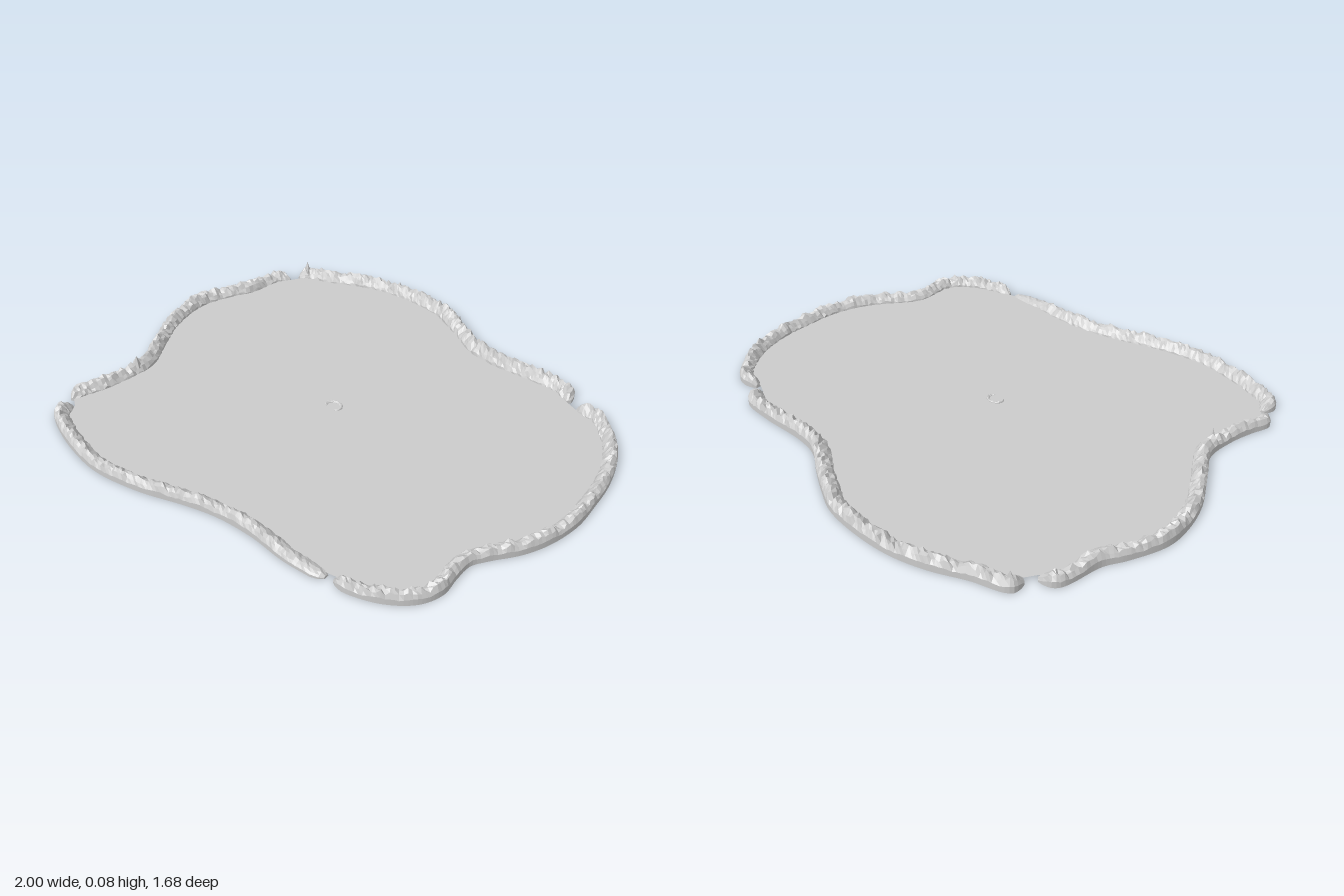
import * as THREE from 'three';

const WATER_Y = 0.01;

function seeded(seed) {
  let s = seed;
  return () => {
    s = (s * 16807) % 2147483647;
    return s / 2147483647;
  };
}

// Outer edges of the four bank pieces, running around the pond as [x, z]
const BANKS = [
  { name: 'frontBank', width: 0.058, height: 0.041, rough: 0.7, endDrop: 0.55, edge: [
    [-0.785, 0.67], [-0.77, 0.735], [-0.66, 0.79], [-0.5, 0.83], [-0.38, 0.84], [-0.2, 0.81],
    [-0.02, 0.75], [0.1, 0.72], [0.25, 0.71], [0.4, 0.72], [0.55, 0.71]] },
  { name: 'leftBank', width: 0.052, height: 0.041, rough: 1, endDrop: 0, edge: [
    [0.58, 0.7], [0.65, 0.69], [0.75, 0.65], [0.83, 0.58], [0.86, 0.5], [0.85, 0.42],
    [0.848, 0.35], [0.88, 0.29], [0.94, 0.2], [0.98, 0.1], [1, -0.03], [0.99, -0.15],
    [0.97, -0.28], [0.92, -0.42], [0.84, -0.53], [0.75, -0.6], [0.66, -0.605]] },
  { name: 'backBank', width: 0.06, height: 0.045, rough: 1, endDrop: 0, edge: [
    [0.63, -0.62], [0.58, -0.67], [0.45, -0.68], [0.25, -0.67], [0.15, -0.685], [0.05, -0.74],
    [-0.05, -0.79], [-0.15, -0.83], [-0.3, -0.843], [-0.45, -0.83], [-0.58, -0.79],
    [-0.7, -0.73], [-0.82, -0.68], [-0.84, -0.63]] },
  { name: 'rightBank', width: 0.055, height: 0.043, rough: 1, endDrop: 0, edge: [
    [-0.85, -0.6], [-0.9, -0.56], [-0.925, -0.4], [-0.96, -0.32], [-1, -0.18], [-0.99, -0.07],
    [-0.95, 0.05], [-0.86, 0.2], [-0.8, 0.3], [-0.795, 0.42], [-0.81, 0.52], [-0.83, 0.6],
    [-0.82, 0.645]] },
];

// Bank cross-section from outer foot to inner foot: [part of width, part of height]
const SECTION = [[0, 0], [0, 0.5], [0.08, 0.85], [0.28, 1], [0.5, 0.92], [0.72, 0.65], [0.9, 0.35], [1, 0.1]];

function edgeCurve(points) {
  return new THREE.CatmullRomCurve3(points.map(([x, z]) => new THREE.Vector3(x, 0, z)), false, 'centripetal');
}

// Point on the curve, moved inward by d
function inward(curve, t, d) {
  const p = curve.getPointAt(t);
  const g = curve.getTangentAt(t);
  return new THREE.Vector3(p.x + g.z * d, 0, p.z - g.x * d);
}

// Sweep the rough section along a curve; the underside stays open
function bankGeometry(curve, { width, height, rough, endDrop }, steps, seed, baseY = 0) {
  const rand = seeded(seed);
  const pos = [];
  const index = [];
  const n = SECTION.length;
  let crest = 1;
  for (let i = 0; i <= steps; i++) {
    const t = i / steps;
    const near = Math.min(1, Math.min(i, steps - i) / 3);
    const taper = 0.35 + 0.65 * Math.sqrt(near);
    const drop = 1 - endDrop * THREE.MathUtils.smoothstep(t, 0.75, 1);
    crest = 0.55 * crest + 0.45 * (0.68 + rand() * 0.75);
    const spike = rand() > 0.94 ? 1.25 : 1;
    SECTION.forEach(([u, v], k) => {
      const inner = k > 1;
      const du = inner && k < n - 1 ? rand() * 0.14 * rough : 0;
      const dv = inner ? (rand() - 0.5) * 0.4 * rough : 0;
      const across = 0.5 + (Math.min(u + du, 1) - 0.5) * taper;
      const p = inward(curve, t, across * width);
      const h = Math.max(0, v * crest * (k === 3 ? spike : 1) + dv * (0.3 + v * 0.7));
      pos.push(p.x, baseY + h * height * taper * drop, p.z);
      if (i < steps && k < n - 1) {
        const a = i * n + k;
        index.push(a, a + n, a + 1, a + 1, a + n, a + n + 1);
      }
    });
  }
  // Close both ends
  for (let k = 1; k < n - 1; k++) {
    const e = steps * n;
    index.push(0, k, k + 1, e, e + k + 1, e + k);
  }
  const geo = new THREE.BufferGeometry();
  geo.setAttribute('position', new THREE.Float32BufferAttribute(pos, 3));
  geo.setIndex(index);
  geo.computeVertexNormals();
  return geo;
}

export function createModel() {
  const group = new THREE.Group();
  const rock = new THREE.MeshStandardMaterial({ color: 0xcccccc, flatShading: true, side: THREE.DoubleSide });
  const flat = new THREE.MeshStandardMaterial({ color: 0xcccccc, side: THREE.DoubleSide });
  const add = (name, geo, mat) => {
    const mesh = new THREE.Mesh(geo, mat);
    mesh.name = name;
    group.add(mesh);
    return mesh;
  };

  // Rocky banks, gathering the water's edge along the way
  const shore = [];
  BANKS.forEach((bank, i) => {
    const curve = edgeCurve(bank.edge);
    const steps = Math.round(curve.getLength() / 0.014);
    add(bank.name, bankGeometry(curve, bank, steps, 1234 + i * 777), rock);
    for (let k = 0; k <= 60; k++) {
      const p = inward(curve, k / 60, bank.width * 0.65);
      shore.push(new THREE.Vector2(p.x, -p.z));
    }
  });

  // Single outcrop on the right bank
  const peak = add('peakStone', new THREE.ConeGeometry(0.018, 0.05, 5), rock);
  peak.position.set(-0.762, 0.053, 0.35);

  // Flat water sheet
  const water = new THREE.ShapeGeometry(new THREE.Shape(shore));
  water.rotateX(-Math.PI / 2);
  water.translate(0, WATER_Y, 0);
  add('waterSurface', water, flat);

  // Small broken ring of pebbles in the middle, open towards the front
  const ring = [];
  for (let k = 0; k <= 12; k++) {
    const a = 0.9 - (k / 12) * 4.9;
    ring.push([-0.03 + Math.cos(a) * 0.037, 0.012 + Math.sin(a) * 0.03]);
  }
  const pebbles = { width: 0.012, height: 0.006, rough: 1, endDrop: 0 };
  add('centerRing', bankGeometry(edgeCurve(ring), pebbles, 24, 4321, WATER_Y - 0.001), rock);

  return group;
}
